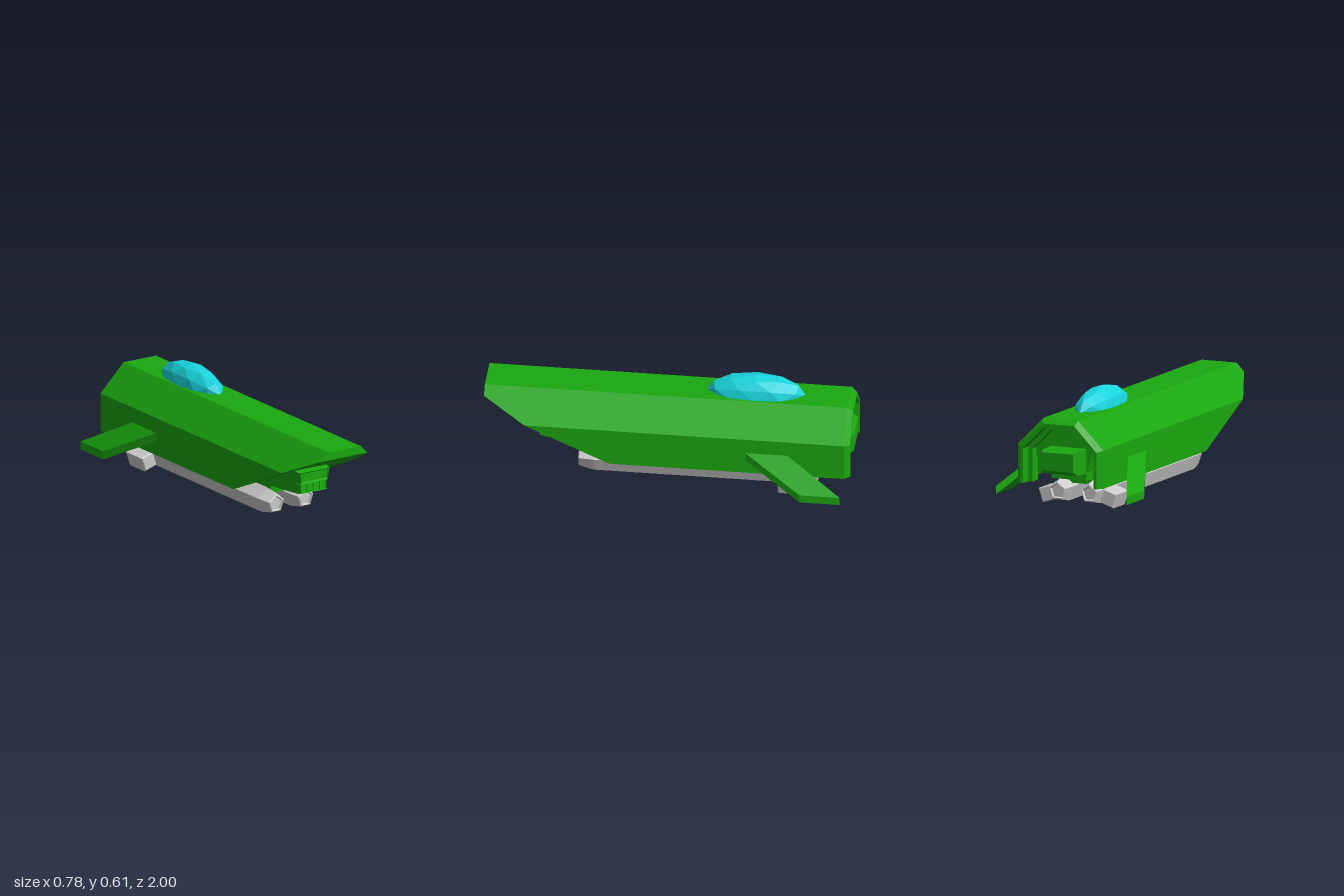
import * as THREE from 'three';

const mat = (color) => new THREE.MeshStandardMaterial({ color, flatShading: true });
const green = mat(0x1aa80f), cyan = mat(0x18d4dc), grey = mat(0xcccccc);

function add(parent, name, geometry, material) {
  const mesh = new THREE.Mesh(geometry, material);
  mesh.name = name;
  parent.add(mesh);
  return mesh;
}

// Right half of an outline, bottom to top, mirrored into a closed anticlockwise loop
const mirror = (half) => [...half, ...half.map(([x, y]) => [-x, y]).reverse()];

// Skin a list of [z, outline] sections, front to back, with flat end caps.
// z may be a function of y, for a slanted cut.
function loft(sections) {
  const pos = [];
  const rings = sections.map(([z, pts]) =>
    pts.map(([x, y]) => [x, y, typeof z === 'function' ? z(y) : z]));
  const tri = (a, b, c) => pos.push(...a, ...b, ...c);
  for (let s = 0; s < rings.length - 1; s++) {
    const f = rings[s], b = rings[s + 1];
    f.forEach((p, i) => {
      const j = (i + 1) % f.length;
      tri(p, b[i], b[j]);
      tri(p, b[j], f[j]);
    });
  }
  const cap = (ring, flip) => {
    const flat = ring.map((p) => new THREE.Vector2(p[0], p[1]));
    for (const [a, b, c] of THREE.ShapeUtils.triangulateShape(flat, [])) {
      if (flip) tri(ring[a], ring[c], ring[b]);
      else tri(ring[a], ring[b], ring[c]);
    }
  };
  cap(rings[0], false);
  cap(rings[rings.length - 1], true);
  const g = new THREE.BufferGeometry();
  g.setAttribute('position', new THREE.Float32BufferAttribute(pos, 3));
  g.computeVertexNormals();
  return g;
}

function makeHull() {
  const hull = new THREE.Group();
  hull.name = 'hull';
  // Flat deck strip, then the walls below it with a raked bow
  const deck = mirror([[0.15, 0.465], [0.105, 0.51]]);
  add(hull, 'deck', loft([[1, deck], [-0.88, deck]]), green);
  const walls = mirror([[0.15, 0.35], [0.255, 0.15], [0.255, 0.36], [0.15, 0.465]]);
  add(hull, 'hullWalls', loft([[(y) => 1 - (0.465 - y) / 0.4565, walls], [-0.88, walls]]), green);
  // Stern arch with a chamfered outer edge and stepped recess
  const arch = (a, ax, ay, tx, ty, i) => mirror([
    [0.25 - i, 0.15], [a, 0.15], [ax, ay], [tx, ty],
    [0.1 - i * 0.4, 0.505 - i], [0.25 - i, 0.355 - i * 0.4],
  ].reverse().map((p) => p).reverse());
  const stern = (w, t, i) => {
    // inner edge from the top centre outward, then the outer edge back up
    const inner = [[0.105 - i * 0.4, 0.51 - i], [0.255 - i, 0.36 - i * 0.4], [0.255 - i, 0.15]];
    const outer = [[w, 0.15], [w, 0.36 - (0.255 - w) * 0.4], [0.105 - (0.51 - t) * 0.4, t]];
    return mirror([...inner, ...outer]);
  };
  add(hull, 'sternArch', loft([
    [-0.88, stern(0.255, 0.51, 0.045)],
    [-0.965, stern(0.255, 0.51, 0.045)],
    [-0.995, stern(0.228, 0.485, 0.045)],
  ]), green);
  add(hull, 'sternStep', loft([
    [-0.86, stern(0.24, 0.495, 0.07)],
    [-0.93, stern(0.24, 0.495, 0.07)],
  ]), green);
  return hull;
}

function makeBody() {
  const body = new THREE.Group();
  body.name = 'innerBody';
  const trap = (bx, by, tx, ty) => mirror([[bx, by], [tx, ty]]);
  // Upper nose with a bevelled window panel
  add(body, 'upperBody', loft([
    [0.705, trap(0.08, 0.26, 0.088, 0.308)],
    [0.715, trap(0.085, 0.254, 0.095, 0.315)],
    [0.67, trap(0.09, 0.245, 0.105, 0.322)],
    [0.45, trap(0.105, 0.21, 0.148, 0.352)],
    [-0.86, trap(0.105, 0.21, 0.148, 0.352)],
  ]), green);
  // Lower nose holding the grille
  add(body, 'lowerBody', loft([
    [0.69, trap(0.082, 0.2, 0.082, 0.243)],
    [0.705, trap(0.087, 0.195, 0.087, 0.247)],
    [0.66, trap(0.095, 0.192, 0.095, 0.247)],
    [0.3, trap(0.105, 0.165, 0.105, 0.25)],
    [-0.86, trap(0.105, 0.165, 0.105, 0.25)],
  ]), green);
  for (let r = 0; r < 5; r++) {
    for (let c = 0; c < 4; c++) {
      add(body, 'grilleSlat', new THREE.BoxGeometry(0.036, 0.006, 0.012), green)
        .position.set((c - 1.5) * 0.041, 0.203 + r * 0.0095, 0.695);
    }
  }
  // Keel between the engines and block in the stern opening
  add(body, 'keel', loft([
    [0.4, trap(0.07, 0.12, 0.07, 0.18)],
    [-0.72, trap(0.07, 0.12, 0.07, 0.18)],
  ]), green);
  add(body, 'sternBlock', loft([
    [-0.8, trap(0.105, 0.2, 0.105, 0.34)],
    [-0.97, trap(0.105, 0.21, 0.105, 0.34)],
    [-1, trap(0.09, 0.23, 0.09, 0.33)],
  ]), green);
  return body;
}

// Swept-back fin sloping down and outward
function makeFin(side) {
  const section = [[0.245, 0.24], [0.39, 0.07], [0.39, 0.115], [0.245, 0.287]];
  const g = loft([[0, section], [-1, section]]);
  const p = g.attributes.position;
  for (let i = 0; i < p.count; i++) {
    const k = (p.getX(i) - 0.255) / 0.135;
    p.setZ(i, -0.43 - 0.31 * k + p.getZ(i) * (0.23 - 0.012 * k));
  }
  g.computeVertexNormals();
  const fin = new THREE.Group();
  fin.name = side > 0 ? 'leftFin' : 'rightFin';
  add(fin, 'finPanel', g, green);
  fin.scale.x = side;
  return fin;
}

function makeEngine(side) {
  const engine = new THREE.Group();
  engine.name = side > 0 ? 'leftEngine' : 'rightEngine';
  const pent = (r) => Array.from({ length: 5 }, (_, i) => {
    const a = Math.PI / 2 + (i * Math.PI * 2) / 5;
    return [r * Math.cos(a), r * Math.sin(a)];
  });
  // Five-sided tube with tapered, dished ends
  add(engine, 'engineTube', loft([
    [0.475, pent(0.04)], [0.49, pent(0.046)], [0.485, pent(0.053)],
    [0.42, pent(0.068)], [0.4, pent(0.071)],
    [-0.74, pent(0.071)], [-0.76, pent(0.068)],
    [-0.805, pent(0.053)], [-0.81, pent(0.046)], [-0.795, pent(0.04)],
  ]), grey);
  // Bevelled pod on the outer lower face
  const rect = (e) => [[0.05, -0.041 + e], [0.135 - e, -0.041 + e], [0.135 - e, 0.041 - e], [0.05, 0.041 - e]];
  const pod = add(engine, 'enginePod', loft([
    [-0.6, rect(0.006)], [-0.608, rect(0)], [-0.747, rect(0)], [-0.755, rect(0.006)],
  ]), grey);
  pod.rotation.z = -Math.PI / 10;
  engine.position.set(side * 0.095, 0.085, 0);
  engine.scale.x = side;
  return engine;
}

export function createModel() {
  const model = new THREE.Group();
  model.name = 'spacecraft';
  model.add(makeHull(), makeBody());
  for (const side of [1, -1]) model.add(makeFin(side), makeEngine(side));
  // Faceted canopy
  const canopy = add(model, 'canopy', new THREE.IcosahedronGeometry(1, 1), cyan);
  canopy.scale.set(0.1, 0.114, 0.27);
  canopy.position.set(0, 0.503, -0.46);
  return model;
}
